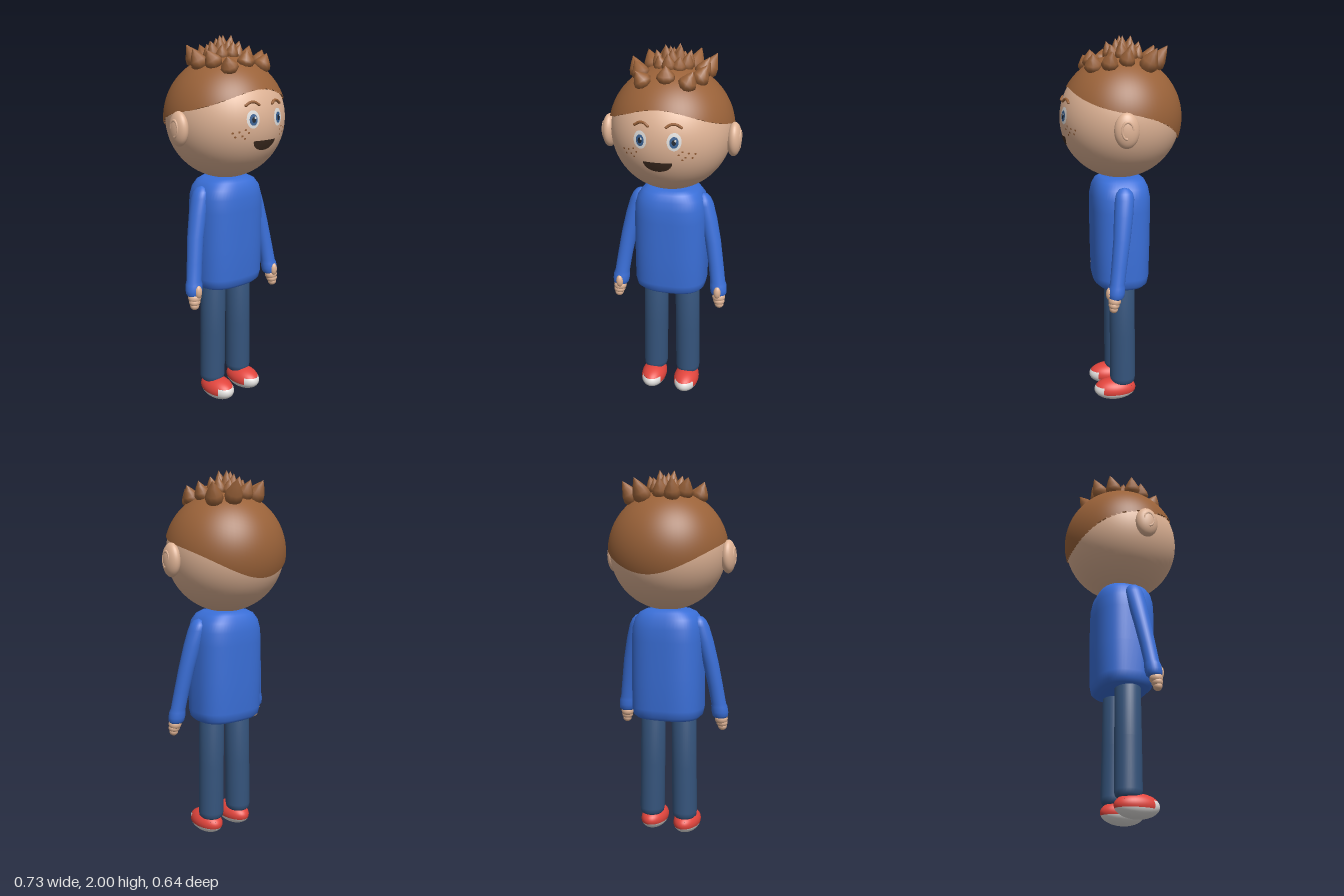
import * as THREE from 'three';

const mat = (name, color) => {
  const m = new THREE.MeshStandardMaterial({ color });
  m.name = name;
  return m;
};

export function createModel() {
  const skin = mat('skin', 0xe0b496), hair = mat('hair brown', 0x9a6239), sweater = mat('sweater blue', 0x3a6fd8);
  const jeans = mat('jeans blue', 0x35547c), red = mat('shoe red', 0xe2453d), white = mat('white', 0xe2e0de);
  const dark = mat('mouth brown', 0x3d2b20), iris = mat('iris blue', 0x3a6294), pupil = mat('pupil', 0x1c2430);
  const root = new THREE.Group();

  const add = (name, geometry, material, parent = root) => {
    const m = new THREE.Mesh(geometry, material);
    m.name = name;
    parent.add(m);
    return m;
  };
  const group = (name) => {
    const g = new THREE.Group();
    g.name = name;
    root.add(g);
    return g;
  };
  const ellipsoid = (name, c, r, material, parent, ...arcs) => {
    const m = add(name, new THREE.SphereGeometry(1, ...(arcs.length ? arcs : [32, 20])), material, parent);
    m.position.set(...c);
    m.scale.set(...r);
    return m;
  };

  // Closed skin over horizontal rings [x, y, z, rx, rz], listed from bottom to top
  const loft = (rings, power = 2, n = 40) => {
    const pos = [], idx = [];
    const bend = (v) => Math.sign(v) * Math.abs(v) ** (2 / power);
    rings.forEach(([x, y, z, rx, rz], i) => {
      for (let j = 0; j < n; j++) {
        const a = (j / n) * Math.PI * 2;
        pos.push(x + rx * bend(Math.cos(a)), y, z + rz * bend(Math.sin(a)));
        if (i < rings.length - 1) {
          const p = i * n + j, q = i * n + ((j + 1) % n);
          idx.push(p, p + n, q, q, p + n, q + n);
        }
      }
    });
    const g = new THREE.BufferGeometry();
    g.setAttribute('position', new THREE.Float32BufferAttribute(pos, 3));
    g.setIndex(idx);
    g.computeVertexNormals();
    return g;
  };

  // Head
  const HY = 1.58, HR = [0.312, 0.315, 0.318];
  const head = group('head');
  ellipsoid('headSkin', [0, HY, 0.001], HR, skin, head, 56, 36);
  const faceZ = (x, y) => HR[2] * Math.sqrt(1 - (x / HR[0]) ** 2 - ((y - HY) / HR[1]) ** 2);

  // Flat disc (or part of one) wrapped onto the face
  const decal = (name, x, y, rx, ry, lift, material, start = 0, sweep = Math.PI * 2) => {
    const g = new THREE.RingGeometry(0, 1, 32, 4, start, sweep);
    const p = g.attributes.position;
    for (let i = 0; i < p.count; i++) {
      const px = x + p.getX(i) * rx, py = y + p.getY(i) * ry;
      p.setXYZ(i, px, py, faceZ(px, py) + lift);
    }
    g.computeVertexNormals();
    add(name, g, material, head);
  };
  decal('mouth', 0, 1.496, 0.073, 0.052, 0.004, dark, Math.PI, Math.PI);

  const freckles = [[0.105, 1.54], [0.122, 1.555], [0.135, 1.525], [0.15, 1.545], [0.165, 1.52], [0.12, 1.512], [0.178, 1.54]];
  for (const s of [-1, 1]) {
    decal('eyeWhite', s * 0.084, 1.605, 0.034, 0.044, 0.003, white);
    decal('iris', s * 0.084, 1.603, 0.021, 0.028, 0.005, iris);
    decal('pupil', s * 0.084, 1.603, 0.01, 0.014, 0.007, pupil);
    decal('eyeGlint', s * 0.084 + 0.007, 1.613, 0.005, 0.006, 0.009, white);
    for (const [x, y] of freckles) decal('freckle', s * x, y, 0.005, 0.005, 0.003, hair);

    const browPts = [[0.045, 1.674], [0.065, 1.686], [0.09, 1.686], [0.115, 1.672]]
      .map(([x, y]) => new THREE.Vector3(s * x, y, faceZ(x, y) + 0.005));
    add('eyebrow', new THREE.TubeGeometry(new THREE.CatmullRomCurve3(browPts), 16, 0.007, 8), hair, head);
    for (const e of [browPts[0], browPts[3]]) ellipsoid('browEnd', e.toArray(), [0.007, 0.007, 0.007], hair, head, 10, 8);

    // Ear with a raised inner fold
    ellipsoid('ear', [s * 0.327, 1.552, 0.028], [0.038, 0.088, 0.063], skin, head);
    const fold = add('earFold', new THREE.TorusGeometry(0.034, 0.007, 8, 28, Math.PI * 1.5), skin, head);
    fold.position.set(s * 0.357, 1.555, 0.03);
    fold.rotation.y = Math.PI / 2;
    fold.scale.set(0.8, 1.2, 1);
  }

  // Hair cap: hemisphere with a hairline that is high in front and low behind
  const CR = 0.324;
  const cap = new THREE.SphereGeometry(CR, 72, 28);
  const cp = cap.attributes.position, cn = cap.attributes.normal, uv = cap.attributes.uv;
  for (let i = 0; i < cp.count; i++) {
    const az = uv.getX(i) * Math.PI * 2, c = Math.cos(az + Math.PI);
    const row = Math.round((i - (i % 73)) / 73);
    const edgeY = 0.049 + 0.067 * c + 0.073 * c ** 3 - 0.023 * c * c;
    const t = Math.min(row / 27, 1) * Math.acos(edgeY / CR);
    const az2 = i % 73 / 72 * Math.PI * 2 + Math.PI;
    const dir = new THREE.Vector3(Math.sin(t) * Math.sin(az2), Math.cos(t), Math.sin(t) * Math.cos(az2));
    const cz = Math.cos(az2);
    const t2 = Math.min(row / 27, 1) * Math.acos((0.049 + 0.067 * cz + 0.073 * cz ** 3 - 0.023 * cz * cz) / CR);
    dir.set(Math.sin(t2) * Math.sin(az2), Math.cos(t2), Math.sin(t2) * cz);
    cn.setXYZ(i, dir.x, dir.y, dir.z);
    dir.multiplyScalar(row === 28 ? 0.3 : CR);
    cp.setXYZ(i, dir.x, dir.y, dir.z);
  }
  add('hairCap', cap, hair, head).position.y = HY;

  // Hair spikes: [base x, base z, tip x, tip y, tip z, radius]
  const spikes = [
    [-0.075, -0.145, -0.09, 1.95, -0.2, 0.044], [-0.01, -0.14, -0.018, 1.95, -0.185, 0.042],
    [0.075, -0.155, 0.103, 1.95, -0.226, 0.048], [0.15, -0.105, 0.2, 1.94, -0.15, 0.048],
    [-0.115, -0.08, -0.155, 1.95, -0.125, 0.046], [-0.165, 0.01, -0.205, 1.935, -0.01, 0.046],
    [0.145, -0.005, 0.186, 1.945, -0.015, 0.042], [0.15, 0.083, 0.193, 1.925, 0.075, 0.045],
    [-0.13, 0.08, -0.175, 1.93, 0.06, 0.046], [-0.1, 0.155, -0.14, 1.9, 0.175, 0.047],
    [0.005, 0.15, 0.005, 1.93, 0.16, 0.047], [0.105, 0.155, 0.14, 1.91, 0.165, 0.047],
  ];
  // Central tuft in two rings, fanning outwards
  for (const [n, r, lean, tipY] of [[9, 0.068, 1.3, 1.97], [5, 0.028, 1.5, 2]])
    for (let k = 0; k < n; k++) {
      const a = (k / n) * Math.PI * 2 + 0.3, x = r * Math.cos(a), z = r * Math.sin(a);
      spikes.push([x + 0.005, z - 0.015, x * lean + 0.005, tipY - 0.015 * (k % 2), z * lean - 0.015, 0.036]);
    }
  const up = new THREE.Vector3(0, 1, 0);
  for (const [bx, bz, tx, ty, tz, r] of spikes) {
    const base = new THREE.Vector3(bx, HY + Math.sqrt(CR * CR - bx * bx - bz * bz) - 0.012, bz);
    const axis = new THREE.Vector3(tx, ty, tz).sub(base), h = axis.length();
    const profile = [[0, -0.015], [0.7 * r, -0.008], [r, 0.18 * h], [0.88 * r, 0.4 * h], [0.45 * r, 0.72 * h], [0, h]];
    const m = add('hairSpike', new THREE.LatheGeometry(profile.map((p) => new THREE.Vector2(...p)), 9), hair, head);
    m.position.copy(base);
    m.quaternion.setFromUnitVectors(up, axis.normalize());
  }

  // Sweater body
  add('sweaterBody', loft([
    [0, 0.664, 0.003, 0, 0], [0, 0.664, 0.003, 0.13, 0.09], [0, 0.672, 0.003, 0.172, 0.128], [0, 0.69, 0.004, 0.19, 0.146],
    [0, 0.73, 0.005, 0.198, 0.154], [0, 0.9, 0.005, 0.198, 0.158], [0, 1.1, 0.005, 0.197, 0.16], [0, 1.17, 0.005, 0.192, 0.158],
    [0, 1.22, 0.005, 0.178, 0.148], [0, 1.255, 0.005, 0.15, 0.13], [0, 1.272, 0.005, 0.115, 0.105], [0, 1.276, 0.005, 0, 0],
  ], 2.7, 56), sweater);

  for (const s of [-1, 1]) {
    // Sleeve with a soft cuff
    const arm = group(s > 0 ? 'leftArm' : 'rightArm');
    add('sleeve', loft([
      [0.281, 0.672, 0.074, 0, 0], [0.281, 0.672, 0.074, 0.034, 0.032], [0.28, 0.683, 0.073, 0.043, 0.041],
      [0.278, 0.705, 0.071, 0.046, 0.044], [0.275, 0.735, 0.068, 0.045, 0.043], [0.272, 0.752, 0.065, 0.041, 0.039],
      [0.257, 0.85, 0.052, 0.041, 0.041], [0.234, 0.98, 0.034, 0.043, 0.045], [0.205, 1.1, 0.02, 0.046, 0.05],
      [0.184, 1.18, 0.011, 0.044, 0.051], [0.177, 1.21, 0.01, 0.036, 0.044], [0.173, 1.23, 0.01, 0.022, 0.027], [0.172, 1.238, 0.01, 0, 0],
    ].map(([x, ...rest]) => [s * x, ...rest]), 2, 28), sweater, arm);

    // Hand
    ellipsoid('palm', [s * 0.283, 0.662, 0.082], [0.036, 0.032, 0.034], skin, arm, 20, 14);
    ellipsoid('knuckles', [s * 0.286, 0.64, 0.086], [0.032, 0.026, 0.029], skin, arm, 20, 14);
    ellipsoid('fingers', [s * 0.288, 0.62, 0.088], [0.025, 0.024, 0.023], skin, arm, 20, 14);
    ellipsoid('thumb', [s * 0.278, 0.699, 0.108], [0.02, 0.036, 0.019], skin, arm, 20, 14);

    // Trouser leg
    add('trouserLeg', loft([
      [0.098, 0.1, 0.004, 0, 0], [0.098, 0.1, 0.004, 0.055, 0.058], [0.098, 0.112, 0.004, 0.066, 0.068], [0.097, 0.135, 0.004, 0.069, 0.071],
      [0.094, 0.4, 0.005, 0.069, 0.07], [0.09, 0.7, 0.006, 0.068, 0.068], [0.09, 0.72, 0.006, 0, 0],
    ].map(([x, ...rest]) => [s * x, ...rest]), 2, 32), jeans);

    // Shoe: one ellipsoid divided into upper, side band, toe cap and sole
    const shoe = group(s > 0 ? 'leftShoe' : 'rightShoe');
    const c = [s * 0.098, 0.062, 0.048], r = [0.072, 0.062, 0.118], d = Math.PI / 180;
    ellipsoid('upper', c, r, red, shoe, 36, 10, 0, Math.PI * 2, 0, 67 * d);
    ellipsoid('sideBand', c, r, red, shoe, 28, 6, 142 * d, 256 * d, 67 * d, 38 * d);
    ellipsoid('toeCap', c, r, white, shoe, 14, 6, 38 * d, 104 * d, 67 * d, 38 * d);
    ellipsoid('sole', c, r, white, shoe, 36, 12, 0, Math.PI * 2, 105 * d, 75 * d);
  }
  return root;
}
